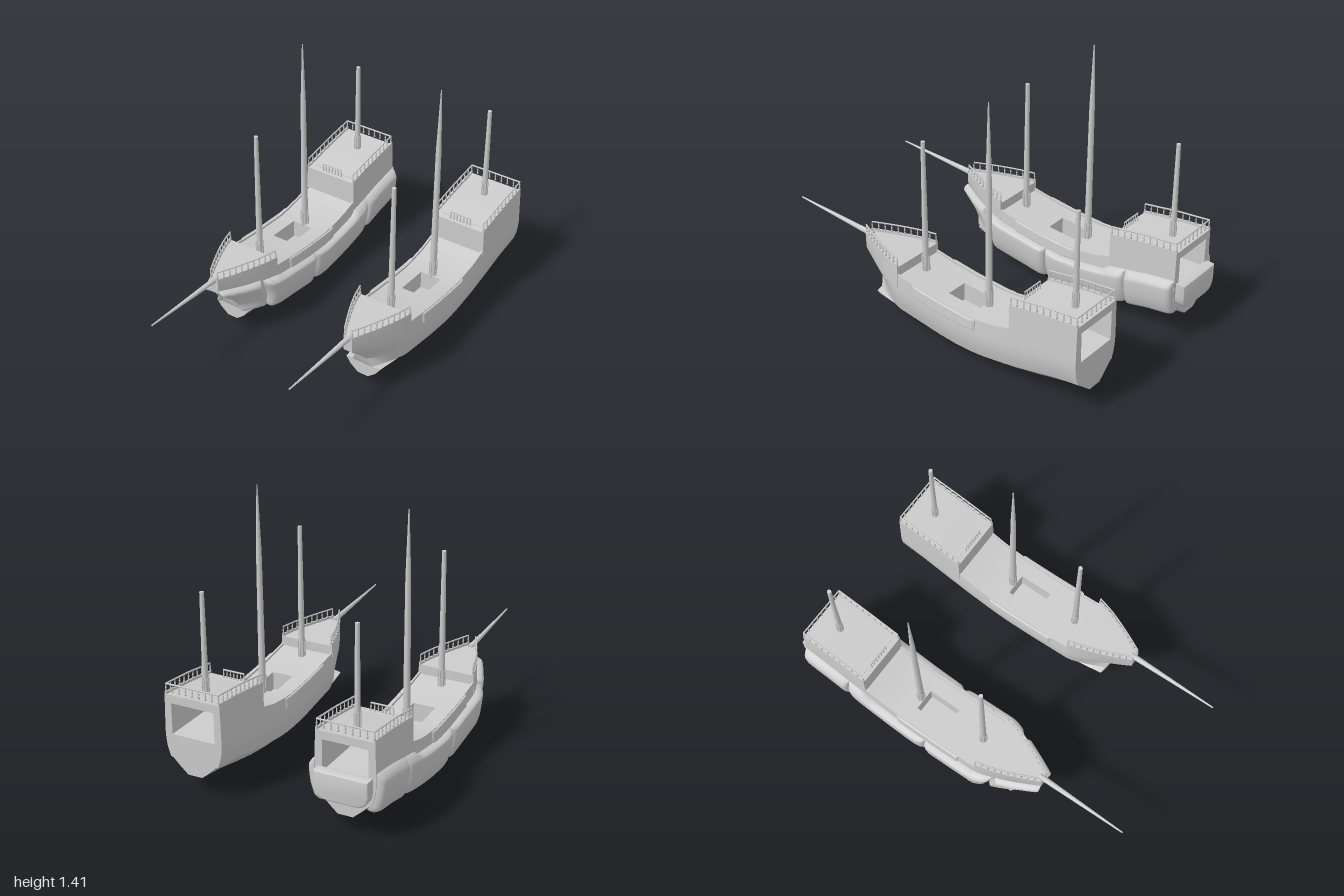
import * as THREE from 'three';
import { toCreasedNormals } from 'three/addons/utils/BufferGeometryUtils.js';

const mat = new THREE.MeshStandardMaterial({ color: 0xcccccc });
const thin = new THREE.MeshStandardMaterial({ color: 0xcccccc, side: THREE.DoubleSide });
const V = (x, y, z) => new THREE.Vector3(x, y, z);

// piecewise linear curve through [z, y] points
function curve(pts, z) {
  let i = 0;
  while (i < pts.length - 2 && z > pts[i + 1][0]) i++;
  const [a, b] = [pts[i], pts[i + 1]];
  return a[1] + (b[1] - a[1]) * (z - a[0]) / (b[0] - a[0]);
}
const KEEL = [[-0.95, 0.107], [-0.8, 0.087], [-0.65, 0.055], [-0.5, 0.026], [-0.36, 0.008], [-0.25, 0.002],
  [-0.12, 0.011], [0, 0.03], [0.17, 0.056], [0.37, 0.075], [0.51, 0.1]];
const CASTLE = [[-0.95, 0.53], [-0.75, 0.51], [-0.55, 0.48]];
const WAIST = [[-0.55, 0.345], [-0.45, 0.318], [-0.3, 0.3], [-0.1, 0.315], [0.05, 0.335], [0.17, 0.356]];
const FORE = [[0.17, 0.408], [0.51, 0.417]];

// hull levels: height above keel, half width, stem position, half width at the stem
const LEVELS = [[0, 0.04, 0.37, 0.03], [0.037, 0.082, 0.37, 0.075], [0.075, 0.122, 0.37, 0.1],
  [0.08, 0.136, 0.374, 0.06], [0.13, 0.152, 0.39, 0.034], [0.17, 0.158, 0.43, 0.028], [0.2, 0.16, 0.475, 0.026],
  [0.225, 0.16, 0.508, 0.025], [null, 0.155, 0.51, 0.025]];

function levelPoint(s, j, deck) {
  const [off, w, stem, we] = LEVELS[j];
  const t = Math.max(0, (s - 0.17) / 0.34);
  const z = t > 0 ? 0.17 + t * (stem - 0.17) : s;
  const x = we + (w - we) * (1 - Math.pow(t, 1.3));
  return V(x, off === null ? curve(deck, z) : curve(KEEL, z) + off, z);
}
const deckAt = s => (s < -0.55 ? CASTLE : s > 0.17 ? FORE : WAIST);
function hullPoint(s, v) {
  const j = Math.min(7, Math.floor(v)), d = deckAt(s);
  return levelPoint(s, j, d).lerp(levelPoint(s, j + 1, d), v - j);
}

// closed cross-section: side, rim, sunken deck with hatch edge, then mirrored
function section(s, deck) {
  const half = LEVELS.map((_, j) => levelPoint(s, j, deck));
  const { x, y, z } = half[8];
  const h = Math.min(0.06, x * 0.4);
  half.push(V(x - 0.01, y, z), V(x - 0.01, y - 0.012, z), V(h, y - 0.012, z));
  return [...half, ...half.map(p => V(-p.x, p.y, p.z)).reverse()];
}

function surface(rows, closed, keep = () => true) {
  const n = rows[0].length, idx = [];
  for (let i = 0; i < rows.length - 1; i++) {
    for (let j = 0; j < (closed ? n : n - 1); j++) {
      if (!keep(i, j)) continue;
      const k = (j + 1) % n, a = i * n + j, b = i * n + k;
      idx.push(a, b, b + n, a, b + n, a + n);
    }
  }
  const g = new THREE.BufferGeometry().setFromPoints(rows.flat());
  g.setIndex(idx);
  return g;
}

function add(parent, geo, name, x = 0, y = 0, z = 0, material = mat) {
  const m = new THREE.Mesh(geo, material);
  m.name = name;
  m.position.set(x, y, z);
  parent.add(m);
  return m;
}

// open recess: a rim of four corners pushed in and closed at the far end
function recess(ship, name, rim, depth) {
  const far = rim.map(p => p.clone().add(depth));
  const centre = far[0].clone().lerp(far[2], 0.5);
  const g = surface([rim, far, far.map(() => centre)], true);
  add(ship, toCreasedNormals(g, 0.4), name, 0, 0, 0, thin);
}

function buildHull(ship) {
  const stations = [
    ...[-0.95, -0.87, -0.8, -0.72, -0.65, -0.55].map(s => [s, CASTLE]),
    ...[-0.55, -0.5, -0.45, -0.36, -0.28, -0.2, -0.09, 0, 0.05, 0.1, 0.17].map(s => [s, WAIST]),
    ...[0.17, 0.22, 0.28, 0.34, 0.4, 0.46, 0.51].map(s => [s, FORE])];
  const rows = stations.map(([s, d]) => section(s, d));
  const isHatch = i => stations[i][0] >= -0.28 && stations[i][0] < -0.09;
  const skin = surface(rows, true, (i, j) => !(j === 11 && isHatch(i)));
  add(ship, toCreasedNormals(skin, 0.45), 'hullAndDecks', 0, 0, 0, thin);

  // stem face joining both sides
  const bow = rows[rows.length - 1].slice(0, 12);
  add(ship, toCreasedNormals(surface([bow, bow.map(p => V(-p.x, p.y, p.z))], false), 0.4), 'stemFace', 0, 0, 0, thin);

  // transom with cabin window
  const window = [[-0.12, 0.31], [-0.12, 0.475], [0.12, 0.475], [0.12, 0.31]];
  const shape = new THREE.Shape(rows[0].map(p => new THREE.Vector2(p.x, p.y)));
  shape.holes.push(new THREE.Path(window.map(p => new THREE.Vector2(...p))));
  add(ship, new THREE.ShapeGeometry(shape), 'transom', 0, 0, -0.95, thin);

  recess(ship, 'cabinInterior', window.map(([x, y]) => V(x, y, -0.95)), V(0, 0, 0.37));
  const hatch = [[0.06, -0.28], [0.06, -0.09], [-0.06, -0.09], [-0.06, -0.28]];
  recess(ship, 'hatchWell', hatch.map(([x, z]) => V(x, curve(WAIST, z) - 0.012, z)), V(0, -0.1, 0));
}

// plate or cushion raised from the hull between two stations and two levels
function pad(ship, name, s0, s1, v0, v1, thick, power, forward = 0) {
  const N = 20, M = 20;
  const edge = (t, p) => 1 - Math.pow(Math.abs(2 * t - 1), p);
  const side = [];
  for (let i = 0; i <= N; i++) {
    const row = [];
    for (let j = 0; j <= M; j++) {
      const u = 0.5 - 0.5 * Math.cos(Math.PI * i / N), v = 0.5 - 0.5 * Math.cos(Math.PI * j / M);
      const tilt = Math.max(0, 5 - (v0 + (v1 - v0) * v)) * 0.22;
      const dir = V(Math.cos(tilt), -Math.sin(tilt), forward).normalize();
      row.push(hullPoint(s0 + (s1 - s0) * u, v0 + (v1 - v0) * v)
        .addScaledVector(dir, 0.002 + thick * Math.sqrt(edge(u, power) * edge(v, 30))));
    }
    side.push(row);
  }
  for (const m of [1, -1]) {
    const rows = side.map(r => r.map(p => V(m * p.x, p.y, p.z)));
    if (m < 0) rows.reverse();
    add(ship, toCreasedNormals(surface(rows, false), 0.9), name, 0, 0, 0, thin);
  }
}

const baluster = new THREE.LatheGeometry([[0, 0], [0.005, 0], [0.005, 0.007], [0.0022, 0.012], [0.0045, 0.021],
  [0.002, 0.032], [0.0035, 0.041]].map(p => new THREE.Vector2(...p)), 6);

function railing(ship, name, pts, count) {
  const g = new THREE.Group();
  g.name = name;
  const path = new THREE.CatmullRomCurve3(pts);
  for (let i = 0; i < count; i++) {
    const p = path.getPointAt(i / (count - 1));
    add(g, baluster, 'baluster', p.x, p.y, p.z);
  }
  const top = new THREE.CatmullRomCurve3(pts.map(p => V(p.x, p.y + 0.042, p.z)));
  add(g, new THREE.TubeGeometry(top, 12, 0.0045, 6), 'handrail', 0, 0, 0, thin);
  ship.add(g);
}

function mast(ship, name, z, y0, y1, r0, r1, tip) {
  const h = y1 - y0;
  add(ship, new THREE.CylinderGeometry(r1, r0, h, 12), name, 0, y0 + h / 2, z);
  if (tip) add(ship, new THREE.CylinderGeometry(0.003, r1, tip, 12), name + 'Tip', 0, y1 + tip / 2, z);
  // ring of cleats around the foot
  for (let i = 0; i < 8; i++) {
    const a = i * Math.PI / 4;
    add(ship, new THREE.CylinderGeometry(0.003, 0.004, 0.1, 6), name + 'Cleat',
      r0 * Math.cos(a), y0 + 0.05, z + r0 * Math.sin(a));
  }
}

// stern cushion: flat top, lower corners rounded in
function buildSternCushion(ship) {
  const s = new THREE.Shape();
  s.moveTo(-0.133, 0.325);
  s.lineTo(-0.133, 0.26);
  s.quadraticCurveTo(-0.13, 0.205, -0.08, 0.2);
  s.lineTo(0.08, 0.2);
  s.quadraticCurveTo(0.13, 0.205, 0.133, 0.26);
  s.lineTo(0.133, 0.325);
  s.closePath();
  const g = new THREE.ExtrudeGeometry(s, { depth: 0.04, bevelSize: 0.01, bevelThickness: 0.01, bevelSegments: 4 });
  add(ship, toCreasedNormals(g, 0.6), 'sternCushion', 0, 0, -0.99);
}

function buildShip(padded) {
  const ship = new THREE.Group();
  ship.name = padded ? 'paddedShip' : 'plainShip';
  buildHull(ship);
  pad(ship, 'sidePanel', -0.34, 0.065, 7.15, 7.98, 0.01, 30);

  // masts and bowsprit
  mast(ship, 'foreMast', 0.115, 0.32, 1.07, 0.018, 0.011);
  mast(ship, 'mainMast', -0.3, 0.28, 1.065, 0.019, 0.014, 0.345);
  mast(ship, 'mizzenMast', -0.825, 0.49, 1.03, 0.016, 0.011);
  const sprit = add(ship, new THREE.CylinderGeometry(0.004, 0.016, 0.52, 10), 'bowsprit', 0, 0.419, 0.74);
  sprit.rotation.x = Math.PI / 2 - 0.07;

  // railings
  for (const m of [1, -1]) {
    const edge = (list, deck) => list.map(s => {
      const p = levelPoint(s, 8, deck);
      return V(m * (p.x - 0.006), p.y, p.z);
    });
    railing(ship, 'foreRail', edge([0.175, 0.26, 0.34, 0.42, 0.505], FORE), 11);
    railing(ship, 'castleSideRail', edge([-0.945, -0.85, -0.75, -0.65, -0.555], CASTLE), 11);
  }
  railing(ship, 'sternRail', [V(-0.149, 0.53, -0.944), V(0.149, 0.53, -0.944)], 9);
  railing(ship, 'castleFrontRail', [V(-0.06, 0.47, -0.57), V(0.06, 0.47, -0.57)], 7);

  // cushions around the hull
  if (padded) {
    for (const [a, b] of [[-0.95, -0.66], [-0.66, -0.15], [-0.15, 0.27]]) {
      pad(ship, 'sideCushion', a, b, 1.7, 7.15, 0.041, 14);
    }
    pad(ship, 'bowCushion', 0.285, 0.508, 3.1, 7.2, 0.034, 20, 0.5);
    buildSternCushion(ship);
  }
  return ship;
}

export function createModel() {
  const model = new THREE.Group();
  model.name = 'twoShips';
  const padded = buildShip(true), plain = buildShip(false);
  padded.position.x = -0.4;
  plain.position.x = 0.427;
  model.add(padded, plain);
  return model;
}
